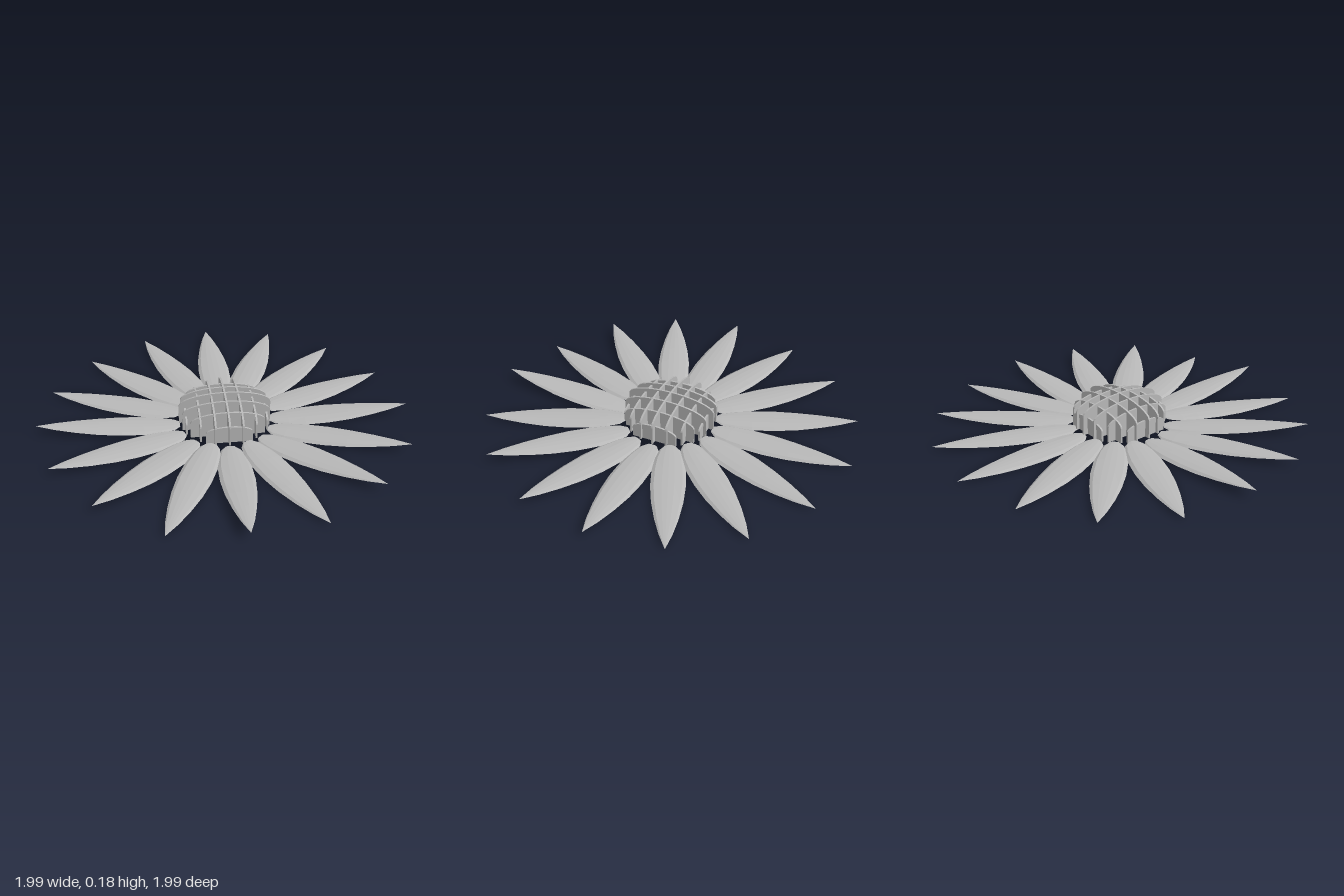
import * as THREE from 'three';

const grey = new THREE.MeshStandardMaterial({ color: 0xb8b8b8, side: THREE.DoubleSide });
grey.name = 'grey';

// Petal outline: [radius from flower centre, half width]
const OUTLINE = [
  [0.24, 0.025], [0.27, 0.052], [0.34, 0.074], [0.43, 0.086], [0.55, 0.088],
  [0.67, 0.078], [0.79, 0.058], [0.9, 0.032], [0.995, 0.001],
];
// Cross-section: [fraction of half width, height], a shallow arch with a turned-down rim
const SECTION = [[-1, -0.011], [-0.8, -0.001], [-0.35, 0.004], [0, 0.005], [0.35, 0.004], [0.8, -0.001], [1, -0.011]];

// Arched petal pointing along +x, climbing from baseY to tipY
function petalGeometry(baseY, tipY) {
  const pos = [], index = [], n = SECTION.length;
  OUTLINE.forEach(([r, w], i) => {
    const t = (r - 0.24) / 0.755;
    const y = baseY + (tipY - baseY) * t;
    for (const [u, h] of SECTION) pos.push(r, y + h * Math.min(1, w / 0.08), u * w);
    if (i === 0) return;
    for (let j = 0; j < n - 1; j++) {
      const a = (i - 1) * n + j, b = a + n;
      index.push(a, a + 1, b, b, a + 1, b + 1);
    }
  });
  const indexed = new THREE.BufferGeometry();
  indexed.setAttribute('position', new THREE.Float32BufferAttribute(pos, 3));
  indexed.setIndex(index);
  const g = indexed.toNonIndexed();
  g.computeVertexNormals();
  return g;
}

// Upright slat with a rounded top, spanning x
function slatGeometry(halfWidth, top) {
  const bottom = 0.02, rise = 0.07 * halfWidth / 0.245, shoulder = top - rise;
  const s = new THREE.Shape();
  s.moveTo(-halfWidth, bottom);
  s.lineTo(halfWidth, bottom);
  s.lineTo(halfWidth, shoulder);
  s.absellipse(0, shoulder, halfWidth, rise, 0, Math.PI, false);
  s.closePath();
  const g = new THREE.ExtrudeGeometry(s, { depth: 0.01, bevelEnabled: false, curveSegments: 10 });
  return g.translate(0, 0, -0.005);
}

export function createModel() {
  const flower = new THREE.Group();
  flower.name = 'flower';
  flower.position.x = -0.005;

  // Ring of sixteen petals; some of the front and side ones lift at the tip
  const lifted = { 0: 0.045, 8: 0.055, 9: 0.05, 10: 0.055, 12: 0.068, 14: 0.055, 15: 0.045 };
  const petals = new THREE.Group();
  petals.name = 'petals';
  for (let k = 0; k < 16; k++) {
    const tip = lifted[k];
    const petal = new THREE.Mesh(tip ? petalGeometry(0.012, tip) : petalGeometry(0.024, 0.022), grey);
    petal.name = 'petal';
    petal.rotation.y = k * Math.PI / 8;
    petals.add(petal);
  }
  flower.add(petals);

  // Domed centre made of two crossing sets of slats: [offset, half width, top]
  const dome = new THREE.Group();
  dome.name = 'latticeCentre';
  for (const [d, w, top] of [[0, 0.245, 0.19], [0.072, 0.232, 0.18], [0.145, 0.195, 0.157], [0.212, 0.122, 0.112]]) {
    const g = slatGeometry(w, top);
    for (const side of d ? [-1, 1] : [1]) {
      const across = new THREE.Mesh(g, grey);
      across.name = 'crossSlat';
      across.position.z = side * d;
      const along = new THREE.Mesh(g, grey);
      along.name = 'lengthSlat';
      along.rotation.y = Math.PI / 2;
      along.position.x = side * d;
      dome.add(across, along);
    }
  }
  flower.add(dome);

  const model = new THREE.Group();
  model.add(flower);
  return model;
}
